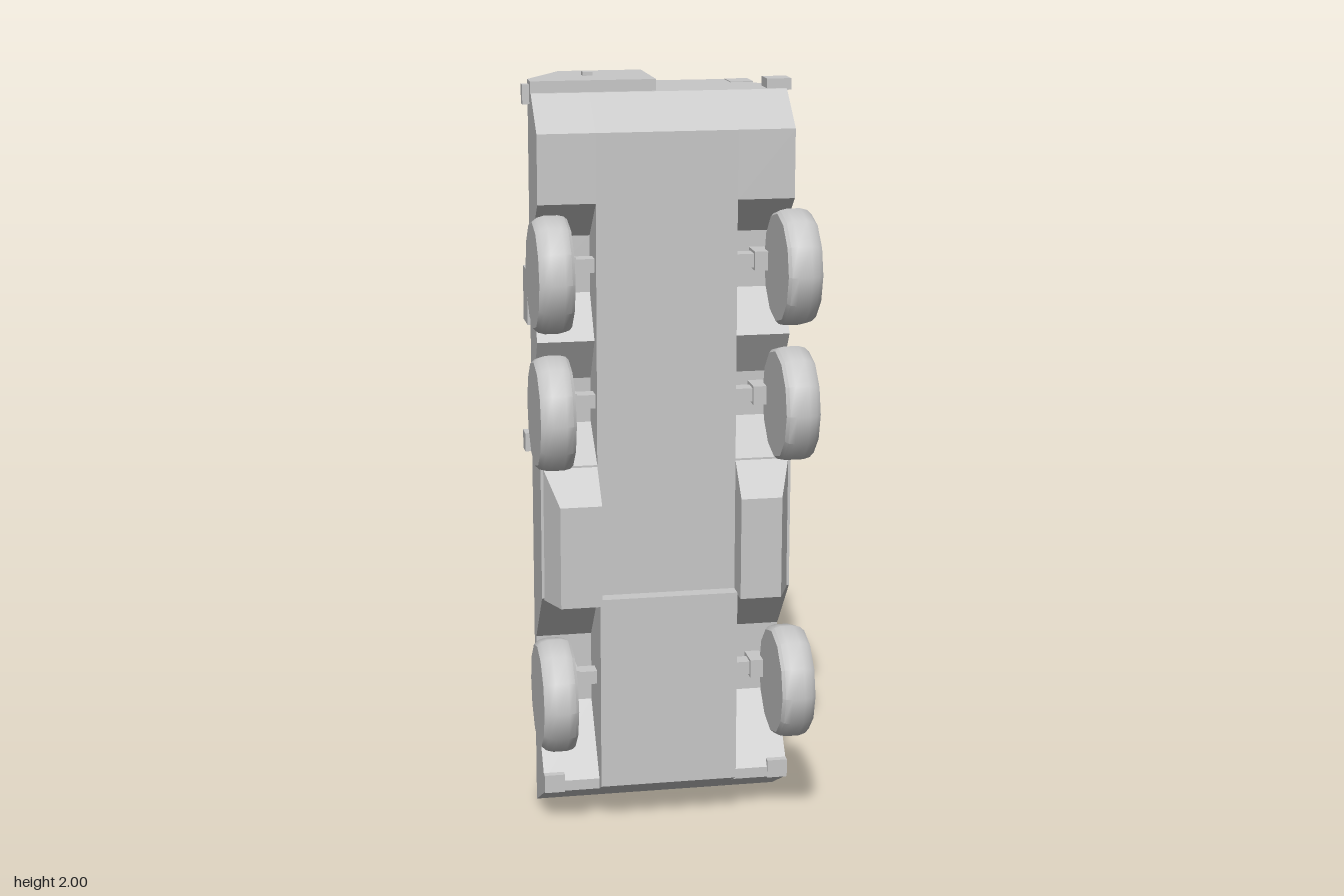
import * as THREE from 'three';
import { ConvexGeometry } from 'three/addons/geometries/ConvexGeometry.js';
import { toCreasedNormals } from 'three/addons/utils/BufferGeometryUtils.js';

// Six-wheeled armoured carrier balanced on its nose: nose at y = 0, roof towards -z.
export function createModel() {
  const model = new THREE.Group();
  model.name = 'armouredCarrier';
  const paint = new THREE.MeshStandardMaterial({ color: 0xc8c8c8 });
  paint.name = 'grey paint';

  const add = (name, geometry) => {
    const mesh = new THREE.Mesh(geometry, paint);
    mesh.name = name;
    model.add(mesh);
    return mesh;
  };
  const box = (name, x0, x1, y0, y1, z0, z1) => {
    const g = new THREE.BoxGeometry(Math.abs(x1 - x0), y1 - y0, Math.abs(z1 - z0));
    return add(name, g.translate((x0 + x1) / 2, (y0 + y1) / 2, (z0 + z1) / 2));
  };
  const bothSides = (fn) => [1, -1].forEach(fn);
  // Solid through points; each [x, y, z] is mirrored across x = 0
  const mirroredSolid = (name, pts) => add(name, new ConvexGeometry(
    pts.flatMap(([x, y, z]) => [new THREE.Vector3(x, y, z), new THREE.Vector3(-x, y, z)])));
  // Side profile of [z, y] points, extruded from x0 to x1
  const sideProfile = (name, pts, x0, x1) => {
    const shape = new THREE.Shape(pts.map(([z, y]) => new THREE.Vector2(z, y)));
    const g = new THREE.ExtrudeGeometry(shape, { depth: x1 - x0, bevelEnabled: false });
    return add(name, g.rotateY(-Math.PI / 2).translate(x1, 0, 0));
  };
  // Faceted disc lying on the roof, between two heights
  const disc = (name, x, y, z0, z1, rBottom, rTop, sides = 8) => {
    const g = new THREE.CylinderGeometry(rTop, rBottom, Math.abs(z1 - z0), sides);
    g.rotateY(Math.PI / sides).rotateX(-Math.PI / 2).translate(x, y, (z0 + z1) / 2);
    return add(name, toCreasedNormals(g, 0.6));
  };

  // Hull
  mirroredSolid('upperHull', [
    [0.335, 0, 0.07], [0.335, 1.96, 0.07], [0.335, 1.96, 0.065],
    [0.225, 1.96, -0.12], [0.225, 0.57, -0.12],
  ]);
  sideProfile('lowerHull', [
    [0.07, 0], [0.275, 0.11], [0.275, 0.64], [0.235, 0.64],
    [0.235, 1.87], [0.13, 1.96], [0.07, 1.96],
  ], -0.185, 0.185);
  const archProfile = [
    [0.07, 0], [0.24, 0.091], [0.24, 0.12], [0.105, 0.3], [0.105, 0.49], [0.235, 0.64],
    [0.235, 1.0], [0.125, 1.09], [0.125, 1.21], [0.2, 1.325], [0.125, 1.44], [0.125, 1.59],
    [0.235, 1.69], [0.235, 1.87], [0.13, 1.96], [0.07, 1.96],
  ];
  sideProfile('leftWheelArches', archProfile, 0.185, 0.335);
  sideProfile('rightWheelArches', archProfile, -0.335, -0.185);
  mirroredSolid('driverHood', [
    [0.222, 0.57, -0.119], [0.1, 0.2, 0.004], [0.13, 0.275, -0.12], [0.1, 0.5, -0.06],
  ]);
  bothSides((s) => {
    add('sideStowageBin', new ConvexGeometry([
      [0.185, 0.635, 0.23], [0.33, 0.635, 0.23], [0.185, 1, 0.23], [0.33, 1, 0.23],
      [0.185, 0.635, 0.315], [0.295, 0.635, 0.315], [0.185, 0.91, 0.315], [0.295, 0.91, 0.315],
    ].map(([x, y, z]) => new THREE.Vector3(s * x, y, z))));
  });

  // Rear door
  const doorShape = new THREE.Shape([[-0.335, 0.118], [-0.008, 0.118], [-0.008, -0.115],
    [-0.23, -0.115], [-0.335, 0.06]].map(([x, z]) => new THREE.Vector2(x, -z)));
  add('rearDoor', new THREE.ExtrudeGeometry(doorShape, { depth: 0.032, bevelEnabled: false })
    .rotateX(-Math.PI / 2).translate(0, 1.958, 0));
  box('doorHandle', -0.183, -0.157, 1.985, 2, -0.015, 0.012);

  // Roof fittings
  box('roofHatch', -0.18, 0.18, 0.99, 1.345, -0.115, -0.135);
  box('roofHatchPanel', -0.168, 0.168, 1.002, 1.333, -0.13, -0.143);
  disc('rearHatchRim', 0.145, 1.835, -0.115, -0.147, 0.085, 0.085);
  disc('rearHatchLid', 0.145, 1.835, -0.145, -0.162, 0.068, 0.06);
  box('roofStowageBox', -0.32, -0.195, 1.305, 1.455, -0.205, -0.118);

  // Fittings along the sloping flanks
  bothSides((s) => {
    for (const y of [0.8, 1.03, 1.16, 1.285]) {
      box('periscope', s * 0.215, s * 0.265, y - 0.032, y + 0.032, -0.115, -0.062);
      box('periscopeVisor', s * 0.25, s * 0.297, y - 0.014, y + 0.014, -0.066, -0.025);
    }
    box('rearCornerBox', s * 0.22, s * 0.282, 1.875, 1.962, -0.112, -0.038);
    box('headlight', s * 0.24, s * 0.29, 0.055, 0.1, 0.02, 0.06);
    box('towBracket', s * 0.28, s * 0.335, 0.09, 0.14, 0.2, 0.245);
  });
  box('leftFlankBox', 0.22, 0.29, 1.34, 1.405, -0.112, -0.04);
  box('leftSideRail', 0.31, 0.342, 1.1, 1.945, 0.03, 0.065);
  box('leftSideBox', 0.295, 0.355, 1.02, 1.11, -0.015, 0.062);
  box('leftRearLamp', 0.285, 0.35, 1.955, 1.985, 0.052, 0.115);
  box('rightSideBox', -0.353, -0.315, 1.0, 1.05, 0.02, 0.066);
  box('rightRearLamp', -0.353, -0.33, 1.93, 1.98, 0.07, 0.1);

  // Wheels and axles
  const tyre = [[0, 0], [0.14, 0], [0.148, 0.008], [0.152, 0.025], [0.152, 0.06],
    [0.147, 0.078], [0.136, 0.09], [0, 0.09]].map(([r, h]) => new THREE.Vector2(r, h));
  for (const y of [0.4, 1.165, 1.525]) {
    bothSides((s) => {
      const g = new THREE.LatheGeometry(tyre, 12).rotateZ(-Math.PI / 2);
      const wheel = add('wheel', toCreasedNormals(g, 0.65));
      wheel.position.set(s * 0.27, y, 0.315);
      if (s < 0) wheel.rotation.y = Math.PI;
      box('axle', s * 0.18, s * 0.28, y - 0.018, y + 0.018, 0.165, 0.21);
      box('axleHub', s * 0.235, s * 0.275, y - 0.025, y + 0.025, 0.145, 0.22);
    });
  }

  // Turret
  disc('turretRing', 0, 0.66, -0.115, -0.17, 0.2, 0.2, 20);
  mirroredSolid('turretBody', [
    [0.1, 0.45, -0.14], [0.215, 0.57, -0.16], [0.215, 0.78, -0.16], [0.12, 0.865, -0.165],
    [0.1, 0.43, -0.2], [0.12, 0.86, -0.24],
    [0.1, 0.53, -0.3], [0.2, 0.6, -0.3], [0.2, 0.79, -0.3], [0.15, 0.83, -0.3],
  ]);
  mirroredSolid('turretBustle', [
    [0.17, 0.8, -0.23], [0.17, 0.8, -0.305], [0.17, 0.84, -0.23], [0.17, 0.84, -0.305],
    [0.13, 0.925, -0.25], [0.13, 0.945, -0.3], [0.13, 0.925, -0.232],
  ]);
  box('turretRoof', -0.2, 0.2, 0.6, 0.8, -0.28, -0.326);
  disc('gunnerHatch', 0.095, 0.68, -0.32, -0.346, 0.07, 0.066);
  disc('commanderHatchRim', -0.097, 0.68, -0.32, -0.342, 0.07, 0.07);
  disc('commanderHatchOpening', -0.097, 0.68, -0.34, -0.358, 0.062, 0.05);
  box('turretSight', -0.032, 0.012, 0.65, 0.72, -0.32, -0.345);
  const lid = add('openHatchLid', toCreasedNormals(
    new THREE.CylinderGeometry(0.06, 0.06, 0.007, 8).rotateY(Math.PI / 8), 0.6));
  lid.position.set(-0.098, 0.75, -0.413);
  lid.rotation.x = 0.27;

  // Turret side boxes, smoke launchers and front sights
  bothSides((s) => {
    box('turretSideBox', s * 0.19, s * 0.272, 0.655, 0.83, -0.28, -0.213);
    for (const [i, y] of [0.79, 0.82].entries()) {
      const tube = add('smokeLauncher', toCreasedNormals(
        new THREE.CylinderGeometry(0.012, 0.012, 0.07, 8).rotateX(Math.PI / 2), 0.6));
      tube.position.set(s * (0.2 + i * 0.025), y, -0.272);
      tube.rotation.y = s * 0.45;
    }
    box('frontSight', s * 0.1, s * 0.15, 0.53, 0.56, -0.305, -0.255);
  });

  // Gun
  box('gunMantlet', -0.045, 0.045, 0.385, 0.46, -0.272, -0.213);
  add('gunBarrel', toCreasedNormals(new THREE.CylinderGeometry(0.012, 0.01, 0.18, 10), 0.7)
    .translate(0, 0.31, -0.243));
  return model;
}
